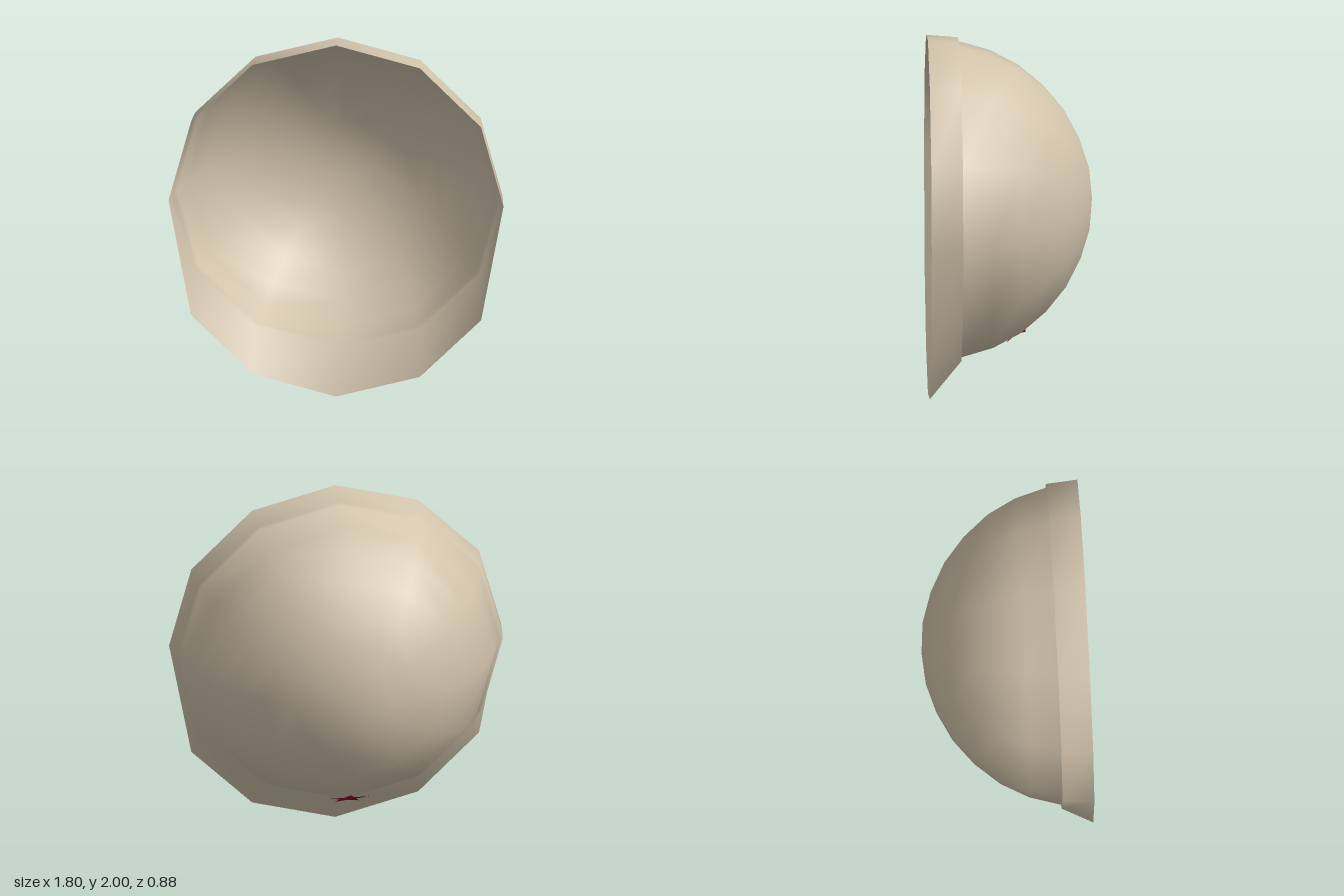
import * as THREE from 'three';
import { mergeVertices } from 'three/addons/utils/BufferGeometryUtils.js';

const CENTRE_Y = 1.1;
const FRONT_Z = 0.44;

// Twelve-sided bowl with a stepped rim, smooth shaded as one thin shell
function shellGeometry() {
  const profile = [
    [0, -0.44], [0.17, -0.425], [0.33, -0.375], [0.485, -0.295], [0.62, -0.185],
    [0.735, -0.05], [0.815, 0.1], [0.865, 0.27], [0.885, 0.27], [0.9, FRONT_Z],
  ].map(([r, z]) => new THREE.Vector2(r, z));
  let geometry = new THREE.LatheGeometry(profile, 12);
  geometry.rotateX(Math.PI / 2);
  geometry.translate(0, CENTRE_Y, 0);

  // Pull the lower front edge down into a lip
  const p = geometry.attributes.position;
  for (let i = 0; i < p.count; i++) {
    if (p.getZ(i) > FRONT_Z - 0.01 && p.getY(i) < CENTRE_Y - 0.1) p.setY(i, p.getY(i) - 0.2);
  }
  geometry.deleteAttribute('normal');
  geometry.deleteAttribute('uv');
  geometry = mergeVertices(geometry, 1e-4);
  geometry.computeVertexNormals();
  return geometry;
}

// Flat five-pointed star
function starGeometry(outer, inner) {
  const shape = new THREE.Shape();
  for (let i = 0; i < 10; i++) {
    const r = i % 2 ? inner : outer;
    const a = Math.PI / 2 + (i * Math.PI) / 5;
    shape[i ? 'lineTo' : 'moveTo'](r * Math.cos(a), r * Math.sin(a));
  }
  return new THREE.ShapeGeometry(shape);
}

export function createModel() {
  const model = new THREE.Group();
  model.name = 'bowlHelmet';

  const shell = new THREE.Mesh(
    shellGeometry(),
    new THREE.MeshStandardMaterial({ color: 0xd0c2aa, side: THREE.DoubleSide }),
  );
  shell.name = 'shell';

  // Star lying on the underside of the dome, its top point towards the back
  const star = new THREE.Mesh(
    starGeometry(0.115, 0.045),
    new THREE.MeshStandardMaterial({ color: 0x8a0828, side: THREE.DoubleSide }),
  );
  star.name = 'star';
  const up = new THREE.Vector3(0, 0.58, -0.81).normalize();
  const out = new THREE.Vector3(0, -0.81, -0.58).normalize();
  const side = new THREE.Vector3().crossVectors(up, out);
  star.quaternion.setFromRotationMatrix(new THREE.Matrix4().makeBasis(side, up, out));
  star.position.set(0, CENTRE_Y - 0.735, -0.05).addScaledVector(out, 0.005);

  model.add(shell, star);
  return model;
}
